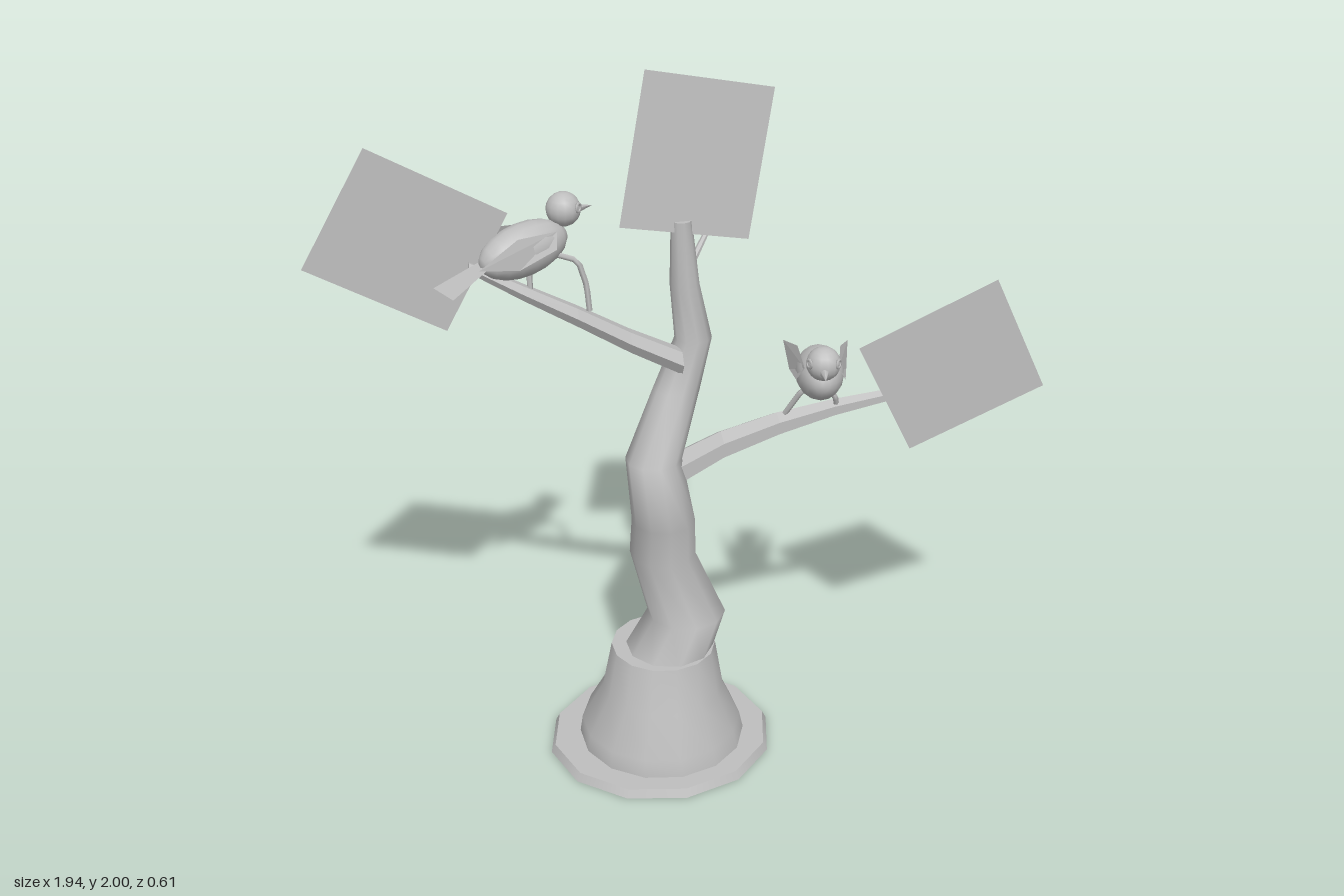
import * as THREE from 'three';

const grey = new THREE.MeshStandardMaterial({ color: 0xbebebe, side: THREE.DoubleSide });
grey.name = 'plain grey';

const X = new THREE.Vector3(1, 0, 0), Y = new THREE.Vector3(0, 1, 0), Z = new THREE.Vector3(0, 0, 1);
const vec = (a) => new THREE.Vector3(...a);

function part(parent, name, geometry) {
  const mesh = new THREE.Mesh(geometry, grey);
  mesh.name = name;
  parent.add(mesh);
  return mesh;
}

// Capped limb from rings [x, y, z, radius], each ring lying in the plane of u and v
function limb(rings, u, v, sides, flat) {
  const pos = [], index = [];
  const addRing = ([x, y, z, r]) => {
    for (let j = 0; j < sides; j++) {
      const a = (j / sides) * Math.PI * 2;
      const p = new THREE.Vector3(x, y, z).addScaledVector(u, r * Math.cos(a)).addScaledVector(v, r * Math.sin(a));
      pos.push(p.x, p.y, p.z);
    }
  };
  rings.forEach(addRing);
  for (let i = 0; i < rings.length - 1; i++) {
    for (let j = 0; j < sides; j++) {
      const a = i * sides + j, b = i * sides + (j + 1) % sides;
      index.push(a, b, a + sides, b, b + sides, a + sides);
    }
  }
  const first = rings.length * sides, last = first + sides;
  addRing(rings[0]);
  addRing(rings[rings.length - 1]);
  for (let j = 1; j < sides - 1; j++) {
    index.push(first, first + j + 1, first + j, last, last + j, last + j + 1);
  }
  let g = new THREE.BufferGeometry();
  g.setAttribute('position', new THREE.Float32BufferAttribute(pos, 3));
  g.setIndex(index);
  if (flat) g = g.toNonIndexed();
  g.computeVertexNormals();
  return g;
}

// Flat panel through its corners in order
function panel(corners) {
  const pos = [];
  for (let i = 1; i < corners.length - 1; i++) pos.push(...corners[0], ...corners[i], ...corners[i + 1]);
  const g = new THREE.BufferGeometry();
  g.setAttribute('position', new THREE.Float32BufferAttribute(pos, 3));
  g.computeVertexNormals();
  return g;
}

// Thin jointed stick
function stick(points, r) {
  const path = new THREE.CurvePath();
  for (let i = 1; i < points.length; i++) path.add(new THREE.LineCurve3(vec(points[i - 1]), vec(points[i])));
  return new THREE.TubeGeometry(path, 8, r, 5);
}

// Bird facing +z with its origin in the middle of the body
function makeBird(name) {
  const bird = new THREE.Group();
  bird.name = name;
  const body = part(bird, 'body', new THREE.SphereGeometry(1, 16, 10).rotateX(Math.PI / 2));
  body.scale.set(0.066, 0.07, 0.13);
  body.rotation.x = -0.15;
  const head = part(bird, 'head', new THREE.SphereGeometry(0.046, 14, 10));
  head.position.set(0, 0.083, 0.125);
  const beak = part(bird, 'beak', new THREE.ConeGeometry(0.014, 0.055, 6).rotateX(Math.PI / 2));
  beak.position.set(0, 0.074, 0.188);
  part(bird, 'tail', panel([[-0.022, -0.005, -0.09], [0.022, -0.005, -0.09], [0.05, -0.065, -0.24], [-0.05, -0.065, -0.24]]));
  for (const s of [-1, 1]) {
    const eye = part(bird, 'eye', new THREE.TorusGeometry(0.011, 0.004, 5, 10));
    eye.position.set(s * 0.038, 0.092, 0.147);
    eye.rotation.y = s * 1.05;
    part(bird, 'wing', panel([[s * 0.045, 0.045, 0.075], [s * 0.066, 0.005, 0.06],
      [s * 0.078, -0.02, -0.06], [s * 0.09, 0.012, -0.185], [s * 0.058, 0.055, -0.05]]));
  }
  return bird;
}

export function createModel() {
  const model = new THREE.Group();
  model.name = 'treeWithBirds';

  // Foot plate and bell-shaped pedestal
  const plate = part(model, 'footPlate', new THREE.CylinderGeometry(0.318, 0.33, 0.024, 12));
  plate.position.set(-0.072, 0.014, 0);
  plate.scale.z = 0.93;
  part(model, 'pedestal', limb([
    [-0.067, 0.02, 0, 0.243], [-0.07, 0.08, 0.003, 0.232],
    [-0.067, 0.2, 0.015, 0.175], [-0.062, 0.335, 0.005, 0.15],
  ], Z, X, 14));

  // Crooked trunk
  part(model, 'trunk', limb([
    [-0.053, 0.32, 0.015, 0.128], [0.005, 0.44, 0.01, 0.112], [-0.05, 0.61, -0.045, 0.094],
    [-0.07, 0.77, 0.045, 0.088], [-0.085, 0.94, 0.0, 0.078], [-0.005, 1.12, -0.055, 0.064],
    [0.045, 1.26, -0.068, 0.051], [0.02, 1.42, -0.065, 0.04], [0.01, 1.6, -0.06, 0.028],
  ], Z, X, 10));

  // Two branches and a twig
  part(model, 'lowerBranch', limb([
    [-0.03, 0.89, -0.005, 0.05], [0.1, 0.965, 0.02, 0.042], [0.25, 1.025, 0.05, 0.035],
    [0.4, 1.07, 0.08, 0.026], [0.56, 1.105, 0.11, 0.018],
  ], Y, Z, 6, true));
  part(model, 'upperBranch', limb([
    [0.0, 1.21, -0.03, 0.038], [-0.14, 1.285, -0.033, 0.034], [-0.28, 1.37, -0.037, 0.03],
    [-0.42, 1.45, -0.043, 0.024], [-0.555, 1.53, -0.05, 0.016],
  ], Z, Y, 6, true));
  part(model, 'twig', limb([[0.005, 1.38, -0.07, 0.016], [0.045, 1.455, -0.1, 0.012], [0.115, 1.55, -0.145, 0.007]], Z, X, 6, true));

  // Square leaf cards at the tips
  part(model, 'topCard', panel([[-0.16, 1.6, -0.045], [0.19, 1.535, -0.045], [0.265, 1.93, -0.08], [-0.08, 2, -0.08]]));
  part(model, 'lowerCard', panel([[0.61, 0.945, 0.14], [0.968, 1.12, 0.195], [0.818, 1.437, 0.17], [0.456, 1.255, 0.115]]));
  part(model, 'upperCard', panel([[-0.62, 1.36, -0.05], [-0.448, 1.665, -0.05], [-0.795, 1.865, -0.05], [-0.972, 1.565, -0.05]]));

  // Perched birds
  const upperBird = makeBird('upperBird');
  upperBird.position.set(-0.41, 1.56, -0.06);
  upperBird.rotation.y = 1.95;
  const lowerBird = makeBird('lowerBird');
  lowerBird.position.set(0.36, 1.18, 0.075);
  lowerBird.rotation.y = -0.27;
  model.add(upperBird, lowerBird);

  // Bent legs reaching the branches
  const legs = [
    [[-0.33, 1.54, -0.06], [-0.27, 1.52, -0.05], [-0.25, 1.45, -0.045], [-0.245, 1.38, -0.04]],
    [[-0.4, 1.52, -0.05], [-0.4, 1.48, -0.045], [-0.4, 1.44, -0.04]],
    [[0.33, 1.16, 0.1], [0.3, 1.13, 0.09], [0.27, 1.06, 0.06]],
    [[0.38, 1.14, 0.1], [0.4, 1.11, 0.1], [0.41, 1.07, 0.085]],
  ];
  for (const points of legs) part(model, 'birdLeg', stick(points, 0.008));

  return model;
}
